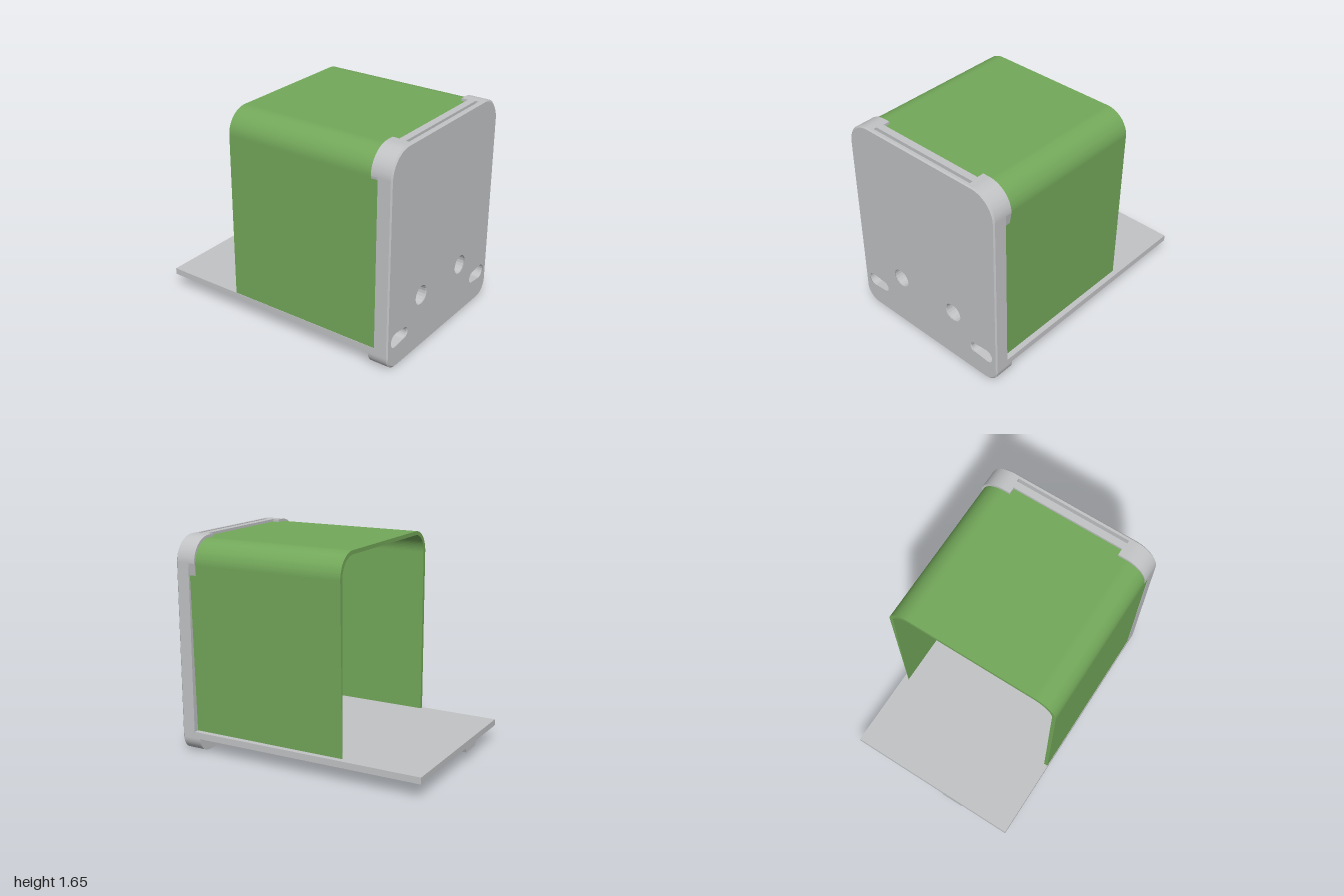
import * as THREE from 'three';

const W = 0.695, H = 1.653, PI = Math.PI;

export function createModel() {
  const model = new THREE.Group();
  const gray = new THREE.MeshStandardMaterial({ color: 0xc2c3c5 });
  gray.name = 'light gray';
  const green = new THREE.MeshStandardMaterial({ color: 0x73a85a });
  green.name = 'leaf green';

  // Extrude a front-facing outline between two depths
  function slab(name, parent, shape, z0, z1, material) {
    const g = new THREE.ExtrudeGeometry(shape, { depth: z1 - z0, bevelEnabled: false, curveSegments: 10 });
    g.translate(0, 0, z0);
    const m = new THREE.Mesh(g, material);
    m.name = name;
    parent.add(m);
    return m;
  }
  function box(name, parent, x0, x1, y0, y1, z0, z1) {
    const g = new THREE.BoxGeometry(x1 - x0, y1 - y0, z1 - z0);
    g.translate((x0 + x1) / 2, (y0 + y1) / 2, (z0 + z1) / 2);
    const m = new THREE.Mesh(g, gray);
    m.name = name;
    parent.add(m);
  }
  const poly = (pts, Type = THREE.Shape) => new Type(pts.map(p => new THREE.Vector2(...p)));

  // Rounded panel outline, optionally with a card slot open at the top
  function outline(cardSlot = false) {
    const rb = 0.115, rt = 0.19, s = new THREE.Shape();
    s.moveTo(-W + rb, 0);
    s.absarc(W - rb, rb, rb, -PI / 2, 0);
    s.absarc(W - rt, H - rt, rt, 0, PI / 2);
    if (cardSlot) [[0.46, H], [0.46, 0.75], [-0.46, 0.75], [-0.46, H]].forEach(p => s.lineTo(...p));
    s.absarc(-W + rt, H - rt, rt, PI / 2, PI);
    s.absarc(-W + rb, rb, rb, PI, PI * 1.5);
    s.closePath();
    return s;
  }
  function addRoundHoles(s) {
    for (const side of [-1, 1]) {
      const h = new THREE.Path();
      h.absarc(side * 0.275, 0.425, 0.075, 0, PI * 2);
      s.holes.push(h);
    }
    return s;
  }
  // Tapered slots, wide end outward
  function addTaperedSlots(s) {
    for (const side of [-1, 1]) {
      const h = new THREE.Path();
      const sweep = (x, r, a0, a1) => {
        for (let i = 0; i <= 10; i++) {
          const a = a0 + (a1 - a0) * i / 10;
          const px = side * (x + r * Math.cos(a)), py = 0.214 + r * Math.sin(a);
          if (h.curves.length || h.started) h.lineTo(px, py);
          else { h.moveTo(px, py); h.started = true; }
        }
      };
      sweep(0.604, 0.057, -PI / 2, PI / 2);
      sweep(0.49, 0.046, PI / 2, PI * 1.5);
      h.closePath();
      s.holes.push(h);
    }
    return s;
  }

  // Front panel, stacked in layers from the face backward
  const panel = new THREE.Group();
  panel.name = 'frontPanel';
  model.add(panel);
  const full = () => addTaperedSlots(addRoundHoles(outline()));
  const face = slab('panelFace', panel, full(), 0.99, 1, gray);
  const pos = face.geometry.attributes.position;
  for (let i = 0; i < pos.count; i++) {
    if (pos.getZ(i) > 0.995) { // small chamfer around the face
      pos.setX(i, pos.getX(i) * 0.986);
      pos.setY(i, H / 2 + (pos.getY(i) - H / 2) * 0.988);
    }
  }
  face.geometry.computeVertexNormals();
  slab('panelFrontLayer', panel, full(), 0.97, 0.99, gray);
  slab('cardSlotLayer', panel, addTaperedSlots(addRoundHoles(outline(true))), 0.945, 0.97, gray);
  slab('panelCore', panel, full(), 0.91, 0.945, gray);
  const rear = addRoundHoles(outline());
  rear.holes.push(poly([[-0.58, 0.65], [0.58, 0.65], [0.58, 0.95], [-0.58, 0.95]], THREE.Path));
  slab('panelRearLayer', panel, rear, 0.89, 0.91, gray);

  // Lips behind the panel: lower edge and the two upper corners
  const low = new THREE.Shape();
  low.moveTo(-W + 0.115, 0);
  low.absarc(W - 0.115, 0.115, 0.115, -PI / 2, 0);
  low.absarc(-W + 0.115, 0.115, 0.115, PI, PI * 1.5);
  slab('lowerLip', panel, low, 0.84, 0.89, gray);
  for (const side of [-1, 1]) {
    const s = new THREE.Shape();
    const a = side > 0 ? 0 : PI;
    s.moveTo(side * W, 0.885);
    s.absarc(side * (W - 0.19), H - 0.19, 0.19, a, PI / 2, side < 0);
    [[0.45, H], [0.45, 1.6], [0.6, 1.4], [0.6, 0.885]].forEach(([x, y]) => s.lineTo(side * x, y));
    s.closePath();
    slab(side > 0 ? 'leftCornerLip' : 'rightCornerLip', panel, s, 0.837, 0.89, gray);
  }
  const plug = new THREE.Shape();
  plug.moveTo(-0.665, 0.885);
  plug.lineTo(0.655, 0.885);
  plug.absarc(0.5, 1.455, 0.155, 0, PI / 2);
  plug.absarc(-0.51, 1.455, 0.155, PI / 2, PI);
  plug.closePath();
  slab('innerPlug', panel, plug, 0.84, 0.89, gray);

  // Arched cover; its middle stretch has a shallow recess in the ceiling
  const cover = new THREE.Group();
  cover.name = 'cover';
  model.add(cover);
  function arch(recess) {
    const x0 = -0.692, x1 = 0.682, y0 = 0.165, y1 = 1.633, r = 0.18, t = 0.03, s = new THREE.Shape();
    s.moveTo(x1, y0);
    s.absarc(x1 - r, y1 - r, r, 0, PI / 2);
    s.absarc(x0 + r, y1 - r, r, PI / 2, PI);
    s.lineTo(x0, y0);
    s.lineTo(x0 + t, y0);
    s.absarc(x0 + r, y1 - r, r - t, PI, PI / 2, true);
    if (recess) [[-0.4, y1 - t], [-0.4, y1 - 0.015], [0.4, y1 - 0.015], [0.4, y1 - t]].forEach(p => s.lineTo(...p));
    s.absarc(x1 - r, y1 - r, r - t, PI / 2, 0, true);
    s.lineTo(x1 - t, y0);
    s.closePath();
    return s;
  }
  slab('coverRear', cover, arch(false), -0.37, 0.1, green);
  slab('coverMiddle', cover, arch(true), 0.1, 0.73, green);
  slab('coverFront', cover, arch(false), 0.73, 0.892, green);

  // Base plate with an off-centre rail underneath
  const base = new THREE.Group();
  base.name = 'base';
  model.add(base);
  box('basePlate', base, -W, W, 0.115, 0.165, -1, 0.89);
  slab('baseRail', base, poly([[-0.3, 0.116], [-0.27, 0.08], [-0.11, 0.08], [-0.095, 0.116]]), -1, 0.83, gray);

  return model;
}
